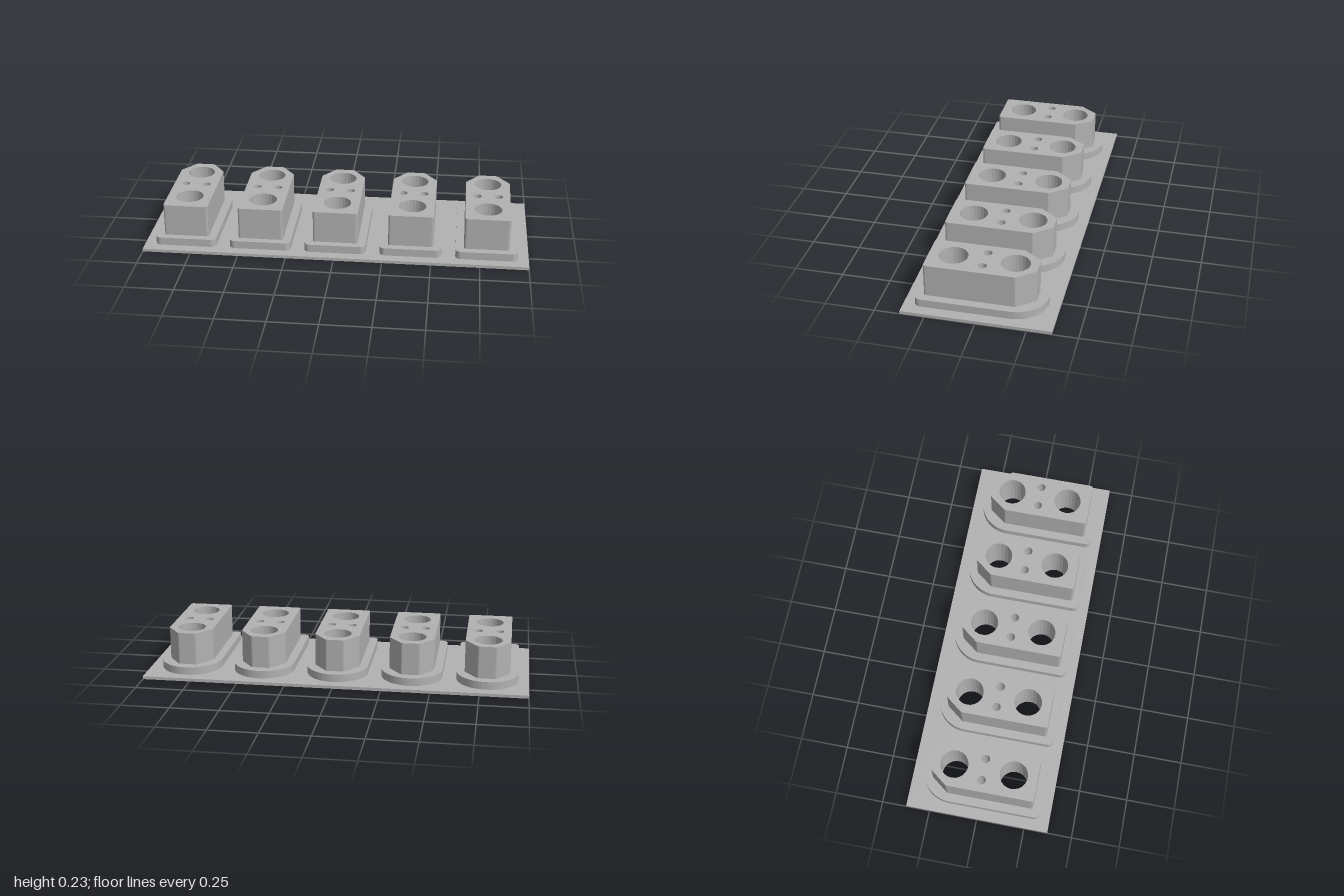
import * as THREE from 'three';

// Outlines are drawn in plan: shape x = model x, shape y = -z (back is up).
const SPACING = 0.392;
const SEGMENTS = 12;

function circle(x, y, r) {
  return new THREE.Path().absarc(x, y, r, 0, Math.PI * 2, true);
}

// The four through holes of one station
function stationHoles(cx) {
  return [
    circle(cx, 0.152, 0.072),
    circle(cx, -0.156, 0.072),
    circle(cx - 0.056, 0, 0.022),
    circle(cx + 0.056, 0, 0.022),
  ];
}

// Closed outline through [x, y, cornerRadius] points with rounded corners
function roundedOutline(points) {
  const shape = new THREE.Shape();
  const n = points.length;
  points.forEach(([x, y, r], i) => {
    const p = new THREE.Vector2(x, y);
    const toward = (q) => new THREE.Vector2(q[0], q[1]).sub(p).setLength(r).add(p);
    const a = toward(points[(i + n - 1) % n]);
    const b = toward(points[(i + 1) % n]);
    if (i === 0) shape.moveTo(a.x, a.y);
    else shape.lineTo(a.x, a.y);
    shape.quadraticCurveTo(x, y, b.x, b.y);
  });
  shape.closePath();
  return shape;
}

// Flange: square front with rounded corners, semicircular back
function flangeOutline() {
  const w = 0.16, f = -0.318, r = 0.03;
  const s = new THREE.Shape();
  s.moveTo(-w + r, f);
  s.lineTo(w - r, f);
  s.absarc(w - r, f + r, r, -Math.PI / 2, 0, false);
  s.absarc(0, 0.158, w, 0, Math.PI, false);
  s.absarc(-w + r, f + r, r, Math.PI, Math.PI * 1.5, false);
  return s;
}

// Block: rectangular front, chamfered back
function blockOutline() {
  const w = 0.117, back = 0.265, h = 0.048;
  return roundedOutline([
    [-w, -0.279, 0.014], [w, -0.279, 0.014],
    [w, 0.174, 0.004], [h, back, 0.008],
    [-h, back, 0.008], [-w, 0.174, 0.004],
  ]);
}

function layer(name, shape, holes, y0, y1, material) {
  shape.holes.push(...holes);
  const geo = new THREE.ExtrudeGeometry(shape, {
    depth: y1 - y0, bevelEnabled: false, curveSegments: SEGMENTS,
  });
  geo.rotateX(-Math.PI / 2);
  geo.translate(0, y0, 0);
  const mesh = new THREE.Mesh(geo, material);
  mesh.name = name;
  return mesh;
}

export function createModel() {
  const model = new THREE.Group();
  model.name = 'socketStrip';
  const grey = new THREE.MeshStandardMaterial({ color: 0xb2b2b2 });
  grey.name = 'grey';

  const centres = [-2, -1, 0, 1, 2].map((i) => i * SPACING);

  // Base plate, pierced under every station
  const plate = new THREE.Shape([
    new THREE.Vector2(-1, -0.373), new THREE.Vector2(1, -0.373),
    new THREE.Vector2(1, 0.373), new THREE.Vector2(-1, 0.373),
  ]);
  model.add(layer('basePlate', plate, centres.flatMap(stationHoles), 0, 0.016, grey));

  // Five identical stations: flange with a block on it
  for (const cx of centres) {
    const station = new THREE.Group();
    station.name = 'station';
    station.add(
      layer('flange', flangeOutline(), stationHoles(0), 0.016, 0.057, grey),
      layer('block', blockOutline(), stationHoles(0), 0.057, 0.227, grey),
    );
    station.position.x = cx;
    model.add(station);
  }
  return model;
}
